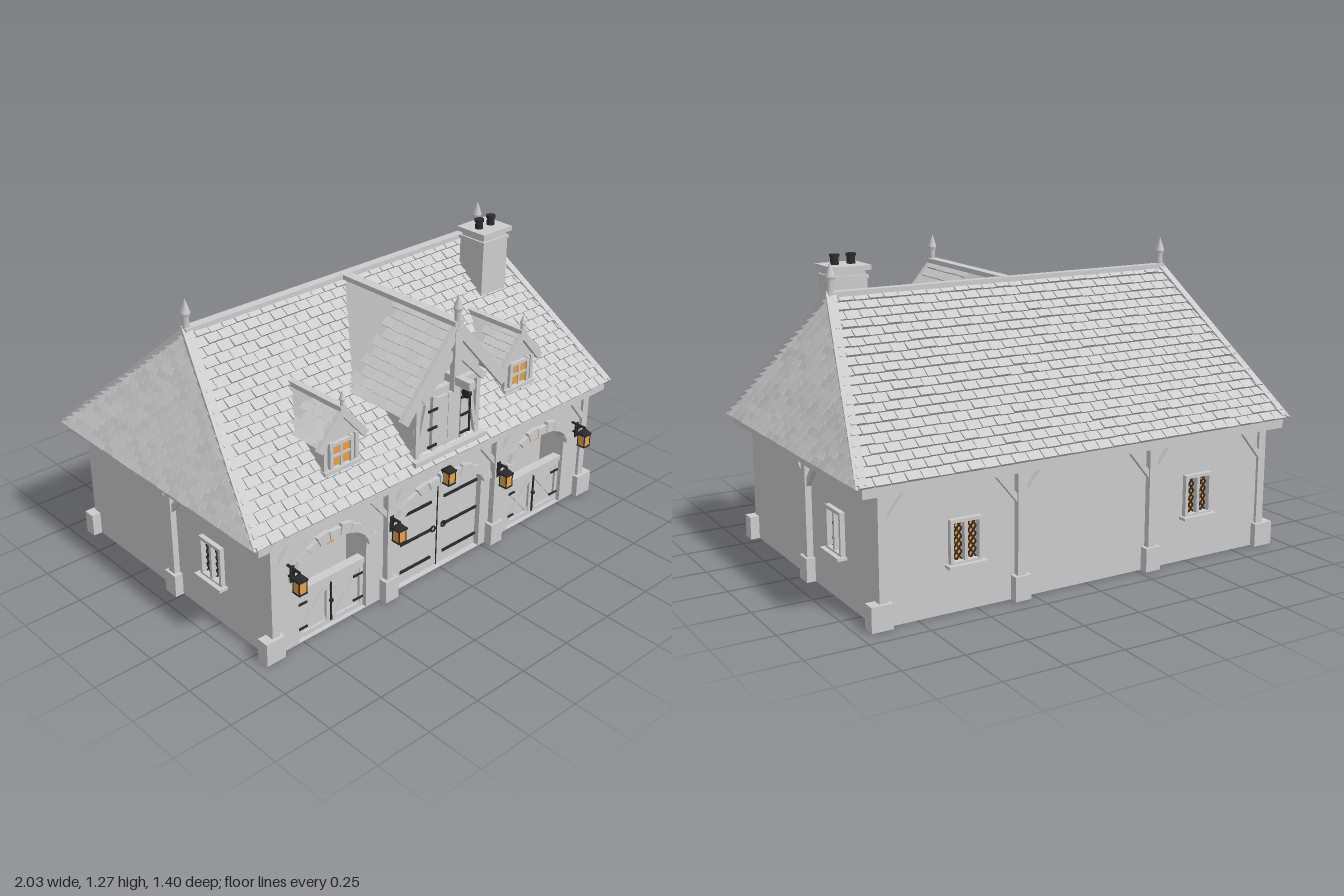
import * as THREE from 'three';

const V = (x, y, z) => new THREE.Vector3(x, y, z);
// front roof plane: z at a given height
const roofZ = y => 0.61 - (y - 0.555) * 0.65 / 0.585;

export function createModel() {
  const model = new THREE.Group();
  const stone = new THREE.MeshStandardMaterial({ color: 0xcccccc, side: THREE.DoubleSide });
  stone.name = 'pale grey';
  const iron = new THREE.MeshStandardMaterial({ color: 0x2b2b2b });
  iron.name = 'black iron';
  const glow = new THREE.MeshStandardMaterial({ color: 0xeea54c, side: THREE.DoubleSide });
  glow.name = 'amber glass';

  let seed = 7;
  const rand = () => (seed = (seed * 16807) % 2147483647) / 2147483647;

  const add = (parent, name, geo, mat, x = 0, y = 0, z = 0) => {
    const m = new THREE.Mesh(geo, mat);
    m.name = name;
    m.position.set(x, y, z);
    parent.add(m);
    return m;
  };
  const box = (p, name, w, h, d, x, y, z, mat = stone) => add(p, name, new THREE.BoxGeometry(w, h, d), mat, x, y, z);
  // bar from a to b; w is horizontal thickness, h the other one
  const beam = (p, name, a, b, w, h, mat = stone) => {
    const m = new THREE.Mesh(new THREE.BoxGeometry(w, h, a.distanceTo(b)), mat);
    m.name = name;
    m.position.copy(a).add(b).multiplyScalar(0.5);
    m.lookAt(b);
    p.add(m);
  };
  const group = (name, parent = model) => {
    const g = new THREE.Group();
    g.name = name;
    parent.add(g);
    return g;
  };
  const extrude = (shape, depth) => new THREE.ExtrudeGeometry(shape, { depth, bevelEnabled: false, curveSegments: 20 });
  const poly = pts => new THREE.Shape(pts.map(p => new THREE.Vector2(...p)));
  const rect = (x0, y0, x1, y1) => poly([[x0, y0], [x1, y0], [x1, y1], [x0, y1]]);
  const archShape = (cx, rx, spring, ry) => {
    const s = new THREE.Shape();
    s.moveTo(cx - rx, 0.002);
    s.lineTo(cx + rx, 0.002);
    s.lineTo(cx + rx, spring);
    s.absellipse(cx, spring, rx, ry, 0, Math.PI, false, 0);
    return s;
  };

  // roof slope with corners A,B (eave) C,D (top), covered in overlapping tiles
  const slope = (name, A, B, C, D, rows) => {
    const u = B.clone().sub(A), len = u.length();
    u.normalize();
    const AD = D.clone().sub(A), l = AD.dot(u), r = C.clone().sub(B).dot(u);
    const up = AD.clone().addScaledVector(u, -l);
    const n = u.clone().cross(up).normalize();
    const pos = [];
    const P = (s, v, h) => A.clone().addScaledVector(u, Math.min(Math.max(s, l * v), len + r * v)).addScaledVector(up, v).addScaledVector(n, h);
    const quad = (a, b, c, d) => [a, b, c, a, c, d].forEach(p => pos.push(p.x, p.y, p.z));
    quad(A, B, C, D);
    const w = 0.064;
    for (let i = 0; i < rows; i++) {
      const v0 = i / rows, v1 = (i + 1) / rows;
      for (let s = (i % 2 ? -w / 2 : 0); s < len; s += w) {
        const a = s + 0.002, b = s + w - 0.002;
        if (b < l * v0 + 0.004 || a > len + r * v0 - 0.004) continue;
        const h = 0.009 + rand() * 0.005, q = v0 + (rand() - 0.5) * 0.1 / rows * (i ? 1 : 0);
        const p0 = P(a, q, h), p1 = P(b, q, h), p2 = P(b, v1, 0.003), p3 = P(a, v1, 0.003);
        const g0 = P(a, q, 0), g1 = P(b, q, 0);
        quad(p0, p1, p2, p3);
        quad(g0, g1, p1, p0);
        quad(g1, P(b, v1, 0), p2, p1);
        quad(P(a, v1, 0), g0, p0, p3);
      }
    }
    const geo = new THREE.BufferGeometry();
    geo.setAttribute('position', new THREE.Float32BufferAttribute(pos, 3));
    geo.computeVertexNormals();
    add(model, name, geo, stone);
  };
  const finial = (x, y, z, s = 1) => add(model, 'finial', new THREE.LatheGeometry(
    [[0.016, -0.03], [0.013, 0.05], [0.02, 0.065], [0.02, 0.072], [0, 0.13]].map(p => new THREE.Vector2(p[0] * s, p[1] * s)), 8), stone, x, y, z);

  // main hipped roof
  const e = 0.555, t = 1.14, zc = -0.04, zf = 0.61, zb = -0.69;
  slope('frontRoof', V(-1, e, zf), V(1, e, zf), V(0.8, t, zc), V(-0.8, t, zc), 20);
  slope('backRoof', V(1, e, zb), V(-1, e, zb), V(-0.8, t, zc), V(0.8, t, zc), 20);
  slope('leftRoof', V(1, e, zf), V(1, e, zb), V(0.8, t, zc), V(0.8, t, zc), 20);
  slope('rightRoof', V(-1, e, zb), V(-1, e, zf), V(-0.8, t, zc), V(-0.8, t, zc), 20);
  beam(model, 'ridgeCap', V(-0.81, t, zc), V(0.81, t, zc), 0.04, 0.022);
  for (const s of [-1, 1]) {
    for (const z of [zf, zb]) beam(model, 'hipCap', V(s * 0.985, e + 0.005, z + (z > 0 ? -0.012 : 0.012)), V(s * 0.795, t, zc), 0.04, 0.024);
    finial(s * 0.795, t, zc);
  }
  const eaves = rect(-0.98, -0.597, 0.98, 0.677);
  eaves.holes.push(rect(-0.87, -0.51, 0.87, 0.59));
  add(model, 'eaves', extrude(eaves, 0.04), stone, 0, 0.513, 0).rotation.x = -Math.PI / 2;

  // leaded window in a wall frame (z points outwards)
  const leadedWindow = (p, x) => {
    const g = group('window', p);
    g.position.set(x, 0.28, 0);
    box(g, 'glass', 0.12, 0.16, 0.008, 0, 0, -0.012, glow);
    for (const s of [-1, 1]) {
      box(g, 'jamb', 0.014, 0.18, 0.04, s * 0.061, 0, 0);
      box(g, 'lintel', 0.136, 0.014, 0.04, 0, s * 0.083, 0);
      for (let i = 0; i < 2; i++) for (let j = 0; j < 5; j++) {
        const x0 = s * 0.031 + (i - 1) * 0.023, y0 = -0.076 + j * 0.0304;
        beam(g, 'lead', V(x0, y0, -0.005), V(x0 + 0.023, y0 + 0.0304, -0.005), 0.006, 0.005, iron);
        beam(g, 'lead', V(x0 + 0.023, y0, -0.005), V(x0, y0 + 0.0304, -0.005), 0.006, 0.005, iron);
      }
    }
    box(g, 'mullion', 0.014, 0.16, 0.035, 0, 0, 0);
    box(g, 'sill', 0.165, 0.012, 0.06, 0, -0.09, 0.01);
  };

  // four walls with posts, braces and plinths, each built in its own outward frame
  const bays = [-0.595, 0.595];
  const walls = [
    ['frontWall', 0, V(0, 0, 0.56), 0.91, [-0.31, 0.31], [], true],
    ['backWall', Math.PI, V(0, 0, -0.64), 0.91, [-0.31, 0.31], [-0.55, 0.55]],
    ['leftWall', Math.PI / 2, V(0.91, 0, zc), 0.6, [0], [0.26]],
    ['rightWall', -Math.PI / 2, V(-0.91, 0, zc), 0.6, [0], [0.26]]
  ];
  for (const [name, turn, at, half, posts, windows, front] of walls) {
    const g = group(name);
    g.position.copy(at);
    g.rotation.y = turn;
    const shape = rect(-half, 0, half, 0.53);
    if (front) shape.holes.push(archShape(0, 0.235, 0.33, 0.095), ...bays.map(x => archShape(x, 0.175, 0.31, 0.11)));
    windows.forEach(x => shape.holes.push(rect(x - 0.058, 0.2, x + 0.058, 0.36)));
    add(g, 'wall', extrude(shape, 0.05), stone, 0, 0, -0.05);
    windows.forEach(x => leadedWindow(g, x));
    for (const x of posts) {
      box(g, 'post', 0.038, 0.52, 0.03, x, 0.26, 0.012);
      box(g, 'plinth', 0.07, 0.1, 0.06, x, 0.05, 0.008);
      for (const s of [-1, 1]) beam(g, 'brace', V(x + s * 0.01, 0.4, 0.008), V(x + s * 0.1, 0.51, 0.008), 0.024, 0.022);
    }
    if (half > 0.8) for (const s of [-1, 1]) {
      box(g, 'cornerPost', 0.036, 0.52, 0.03, s * 0.892, 0.26, -0.002);
      beam(g, 'brace', V(s * 0.88, 0.4, 0.004), V(s * 0.79, 0.51, 0.004), 0.024, 0.022);
      box(g, 'cornerPlinth', 0.09, 0.1, 0.055, s * 0.905, 0.05, 0);
    }
  }

  // arch stones
  const arch = (cx, rx, spring, ry, count) => {
    for (let i = 0; i < count; i++) {
      const a = Math.PI * (i + 0.04) / count, b = Math.PI * (i + 0.96) / count, d = i % 2 ? 0.038 : 0.048;
      const q = (k, o) => [cx + (rx + o) * Math.cos(k), spring + (ry + o) * Math.sin(k)];
      add(model, 'archStone', extrude(poly([q(a, 0), q(a, d), q(b, d), q(b, 0)]), 0.03), stone, 0, 0, 0.549);
    }
  };
  arch(0, 0.235, 0.33, 0.095, 13);
  bays.forEach(x => arch(x, 0.175, 0.31, 0.11, 11));

  // main double door
  const gate = group('mainDoor');
  add(gate, 'doorPanel', extrude(archShape(0, 0.235, 0.33, 0.095), 0.02), stone, 0, 0, 0.515);
  box(gate, 'doorSeam', 0.004, 0.42, 0.004, 0, 0.21, 0.536, iron);
  for (const s of [-1, 1]) {
    for (const y of [0.055, 0.19, 0.325]) box(gate, 'strapHinge', 0.2, 0.012, 0.008, s * 0.136, y, 0.537, iron);
    add(gate, 'ringHandle', new THREE.TorusGeometry(0.012, 0.004, 6, 12), iron, s * 0.03, 0.195, 0.545);
  }

  // stall bays with half doors
  for (const x of bays) {
    const g = group('stall');
    g.position.x = x;
    box(g, 'stallBack', 0.44, 0.5, 0.015, 0, 0.25, 0.4);
    box(g, 'stallTop', 0.44, 0.015, 0.12, 0, 0.493, 0.46);
    box(g, 'doorRail', 0.35, 0.022, 0.04, 0, 0.224, 0.53);
    box(g, 'latchBar', 0.006, 0.18, 0.006, 0, 0.11, 0.548, iron);
    add(g, 'latch', new THREE.SphereGeometry(0.01, 8, 6), iron, 0, 0.115, 0.55);
    for (const s of [-1, 1]) {
      box(g, 'stallSide', 0.015, 0.5, 0.12, s * 0.2125, 0.25, 0.46);
      box(g, 'halfDoor', 0.172, 0.205, 0.015, s * 0.087, 0.105, 0.525);
      for (const y of [0.014, 0.198]) box(g, 'doorFrame', 0.172, 0.02, 0.012, s * 0.087, y, 0.537);
      for (const k of [0.011, 0.164]) box(g, 'doorFrame', 0.018, 0.2, 0.012, s * k, 0.106, 0.537);
      beam(g, 'crossBrace', V(s * 0.015, 0.02, 0.536), V(s * 0.16, 0.19, 0.536), 0.01, 0.016);
      beam(g, 'crossBrace', V(s * 0.015, 0.19, 0.537), V(s * 0.16, 0.02, 0.537), 0.01, 0.016);
      for (const y of [0.05, 0.165]) box(g, 'hinge', 0.05, 0.008, 0.006, s * 0.145, y, 0.545, iron);
    }
    box(g, 'bayLamp', 0.03, 0.04, 0.03, 0, 0.405, 0.535, glow);
  }

  // lanterns
  const lantern = (x, y, z) => {
    const g = group('lantern');
    g.position.set(x, y, z);
    box(g, 'lampGlass', 0.036, 0.055, 0.036, 0, 0, 0, glow);
    box(g, 'lampBase', 0.042, 0.006, 0.042, 0, -0.029, 0, iron);
    box(g, 'lampRim', 0.046, 0.008, 0.046, 0, 0.029, 0, iron);
    add(g, 'lampCap', new THREE.CylinderGeometry(0.008, 0.03, 0.02, 4), iron, 0, 0.042, 0).rotation.y = Math.PI / 4;
    for (const i of [-1, 1]) for (const k of [-1, 1]) box(g, 'lampBar', 0.004, 0.056, 0.004, i * 0.018, 0, k * 0.018, iron);
  };
  for (const x of [-0.82, -0.31, 0.31, 0.82]) {
    lantern(x, 0.335, 0.632);
    beam(model, 'lampArm', V(x, 0.392, 0.56), V(x, 0.392, 0.635), 0.008, 0.008, iron);
    beam(model, 'lampArm', V(x, 0.345, 0.568), V(x, 0.39, 0.61), 0.008, 0.008, iron);
    box(model, 'lampPlate', 0.02, 0.07, 0.006, x, 0.365, 0.588, iron);
  }
  lantern(0, 0.458, 0.595);

  // gabled roof, cheeks and front wall of a dormer
  const dormer = (cx, half, eave, ridge, front, wallHalf, wallZ, base, rows, board) => {
    const k = (ridge - eave) / half, top = ridge - k * wallHalf - 0.01;
    const rz = roofZ(ridge), ez = roofZ(eave);
    slope('dormerRoof', V(cx + half, eave, front), V(cx + half, eave, ez), V(cx, ridge, rz), V(cx, ridge, front), rows);
    slope('dormerRoof', V(cx - half, eave, ez), V(cx - half, eave, front), V(cx, ridge, front), V(cx, ridge, rz), rows);
    beam(model, 'dormerRidge', V(cx, ridge, rz), V(cx, ridge + 0.004, front + 0.01), board, 0.02);
    add(model, 'dormerFront', extrude(poly([[-wallHalf, base], [wallHalf, base], [wallHalf, top], [0, ridge - 0.01], [-wallHalf, top]]), 0.015), stone, cx, 0, wallZ - 0.015);
    for (const s of [-1, 1]) {
      const cheek = extrude(poly([[-wallZ, base], [-roofZ(top), top], [-wallZ, top]]), 0.015);
      add(model, 'dormerCheek', cheek, stone, cx + s * (wallHalf - 0.008) - 0.0075, 0, 0).rotation.y = Math.PI / 2;
      beam(model, 'bargeboard', V(cx + s * half * 1.02, eave - board * 0.4, front), V(cx, ridge - board * 0.3, front), 0.02, board);
    }
    finial(cx, ridge, front, half > 0.2 ? 0.95 : 0.6);
  };

  // small window dormers
  for (const x of [-0.5, 0.5]) {
    dormer(x, 0.115, 0.782, 0.915, 0.51, 0.085, 0.495, 0.655, 5, 0.03);
    box(model, 'dormerGlass', 0.09, 0.09, 0.006, x, 0.723, 0.499, glow);
    for (const s of [-1, 1]) {
      box(model, 'dormerJamb', 0.016, 0.12, 0.02, x + s * 0.052, 0.725, 0.5);
      box(model, 'dormerPost', 0.018, 0.13, 0.015, x + s * 0.08, 0.72, 0.499);
    }
    box(model, 'dormerHead', 0.12, 0.014, 0.02, x, 0.774, 0.5);
    box(model, 'dormerMullion', 0.01, 0.1, 0.014, x, 0.723, 0.5);
    box(model, 'dormerMullion', 0.09, 0.01, 0.014, x, 0.723, 0.5);
    box(model, 'dormerSill', 0.185, 0.016, 0.03, x, 0.665, 0.503);
  }

  // hay loft gable with doors and hoist
  dormer(0, 0.275, 0.825, 1.142, 0.61, 0.18, 0.565, 0.58, 10, 0.045);
  box(model, 'loftSill', 0.4, 0.022, 0.05, 0, 0.588, 0.58);
  box(model, 'loftLintel', 0.34, 0.025, 0.03, 0, 0.868, 0.575);
  box(model, 'kingPost', 0.04, 0.27, 0.025, 0, 0.995, 0.61);
  for (const s of [-1, 1]) {
    box(model, 'loftPost', 0.022, 0.28, 0.02, s * 0.168, 0.73, 0.57);
    beam(model, 'loftBrace', V(s * 0.165, 0.61, 0.572), V(s * 0.118, 0.82, 0.572), 0.014, 0.018);
    beam(model, 'gableStrut', V(s * 0.17, 0.86, 0.6), V(s * 0.01, 1.02, 0.6), 0.02, 0.028);
    box(model, 'loftDoor', 0.066, 0.225, 0.014, s * 0.034, 0.718, 0.57);
    box(model, 'loftDoorFrame', 0.02, 0.24, 0.022, s * 0.08, 0.725, 0.57);
    for (const y of [0.63, 0.71, 0.79]) box(model, 'loftHinge', 0.05, 0.01, 0.006, s * 0.092, y, 0.584, iron);
  }
  box(model, 'hoistBeam', 0.032, 0.034, 0.14, 0, 0.907, 0.63);
  add(model, 'pulley', new THREE.CylinderGeometry(0.02, 0.02, 0.016, 14), iron, 0, 0.868, 0.672).rotation.z = Math.PI / 2;
  beam(model, 'rope', V(0, 0.868, 0.69), V(0, 0.71, 0.691), 0.006, 0.006, iron);

  // chimney
  const chimney = group('chimney');
  box(chimney, 'shaft', 0.15, 0.34, 0.135, 0.667, 1.02, 0.1225);
  box(chimney, 'collar', 0.158, 0.014, 0.146, 0.667, 1.185, 0.1225);
  box(chimney, 'neck', 0.14, 0.03, 0.125, 0.667, 1.2, 0.1225);
  box(chimney, 'cap', 0.176, 0.02, 0.158, 0.667, 1.221, 0.1225);
  for (const x of [0.63, 0.702]) {
    add(chimney, 'pot', new THREE.CylinderGeometry(0.016, 0.018, 0.04, 12), iron, x, 1.25, 0.125);
    add(chimney, 'potRim', new THREE.CylinderGeometry(0.021, 0.021, 0.01, 12), iron, x, 1.268, 0.125);
  }
  return model;
}
